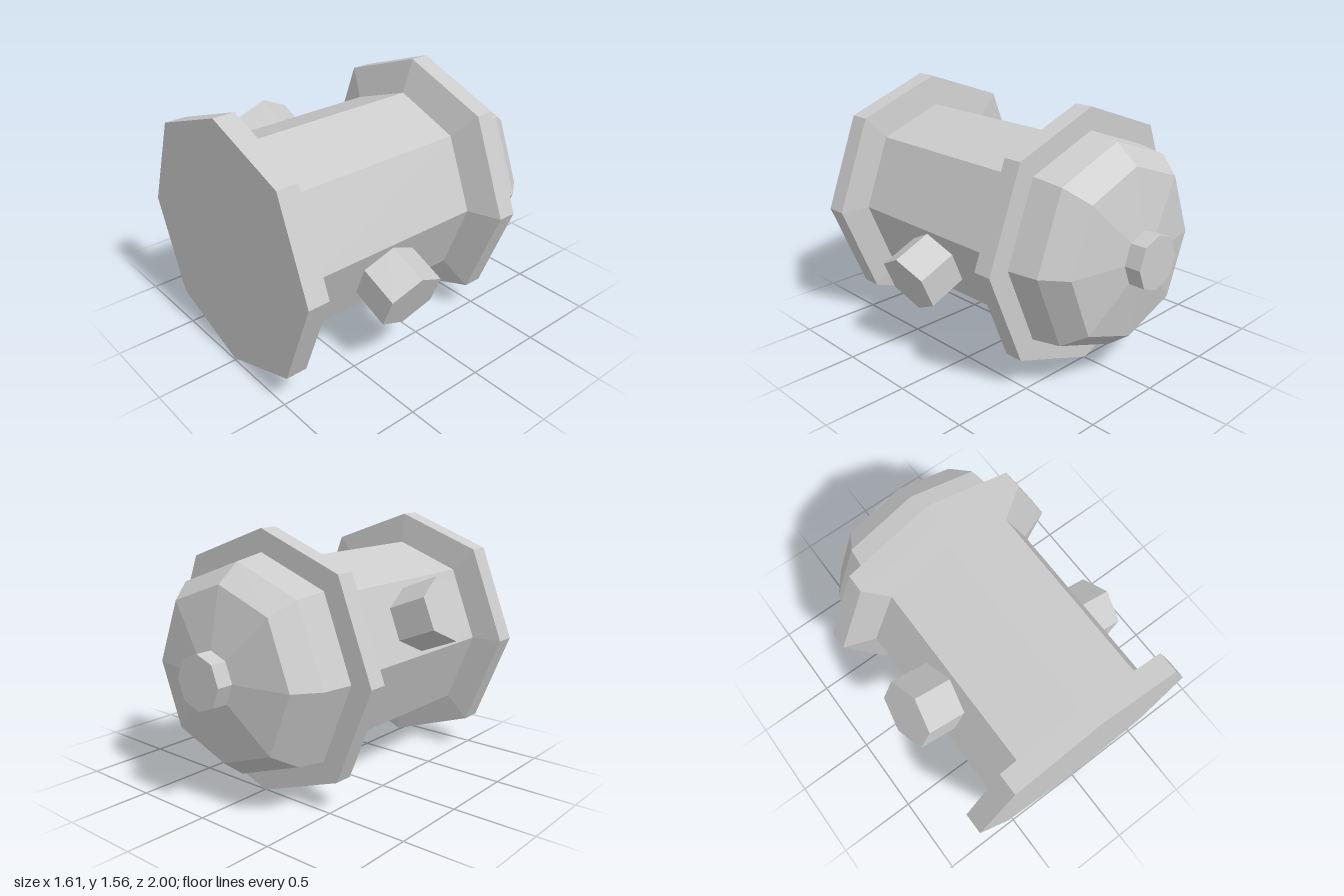
import * as THREE from 'three';

const CENTER_X = -0.004;
const CENTER_Y = 0.778;
const material = new THREE.MeshStandardMaterial({ color: 0xcccccc, flatShading: true });

// Eight-sided section along z; profile is [radius, z] from back to front
function octagonPart(name, profile) {
  const points = profile.map(([r, z]) => new THREE.Vector2(r, z));
  const geometry = new THREE.LatheGeometry(points, 8);
  geometry.rotateX(Math.PI / 2);
  // The diagonal corners sit slightly taller than in a regular octagon
  const pos = geometry.attributes.position;
  for (let i = 0; i < pos.count; i++) {
    if (Math.abs(pos.getX(i)) > 0.001 && Math.abs(pos.getY(i)) > 0.001) {
      pos.setY(i, pos.getY(i) * 1.05);
    }
  }
  geometry.computeVertexNormals();
  const mesh = new THREE.Mesh(geometry, material);
  mesh.name = name;
  mesh.position.set(CENTER_X, CENTER_Y, 0);
  return mesh;
}

// Six-sided outlet pointing away from the barrel at an angle in the xy plane
function outlet(name, angle) {
  const inner = 0.47, outer = 0.791;
  const geometry = new THREE.CylinderGeometry(0.197, 0.197, outer - inner, 6);
  geometry.rotateY(Math.PI / 2);
  geometry.scale(1, 1, 1.07);
  geometry.translate(0, (inner + outer) / 2, 0);
  geometry.rotateZ(angle - Math.PI / 2);
  const mesh = new THREE.Mesh(geometry, material);
  mesh.name = name;
  mesh.position.set(CENTER_X, CENTER_Y, 0.264);
  return mesh;
}

export function createModel() {
  const model = new THREE.Group();
  model.name = 'hydrant';

  model.add(
    // Base flange with its closed foot at the front
    octagonPart('baseFlange', [[0.58, 0.85], [0.767, 0.87], [0.767, 1], [0, 1]]),
    octagonPart('barrel', [[0.58, -0.32], [0.58, 0.85]]),
    // Collar between barrel and bonnet
    octagonPart('collar', [[0.645, -0.505], [0.778, -0.505], [0.778, -0.39], [0.58, -0.32]]),
    octagonPart('bonnet', [[0.16, -0.9], [0.507, -0.83], [0.615, -0.69], [0.645, -0.505]]),
    // Nut on top of the bonnet
    octagonPart('bonnetNut', [[0, -1], [0.16, -1], [0.16, -0.9]])
  );

  // Opposed side outlets
  const tilt = THREE.MathUtils.degToRad(-22.5);
  model.add(outlet('leftOutlet', tilt), outlet('rightOutlet', tilt + Math.PI));

  return model;
}
